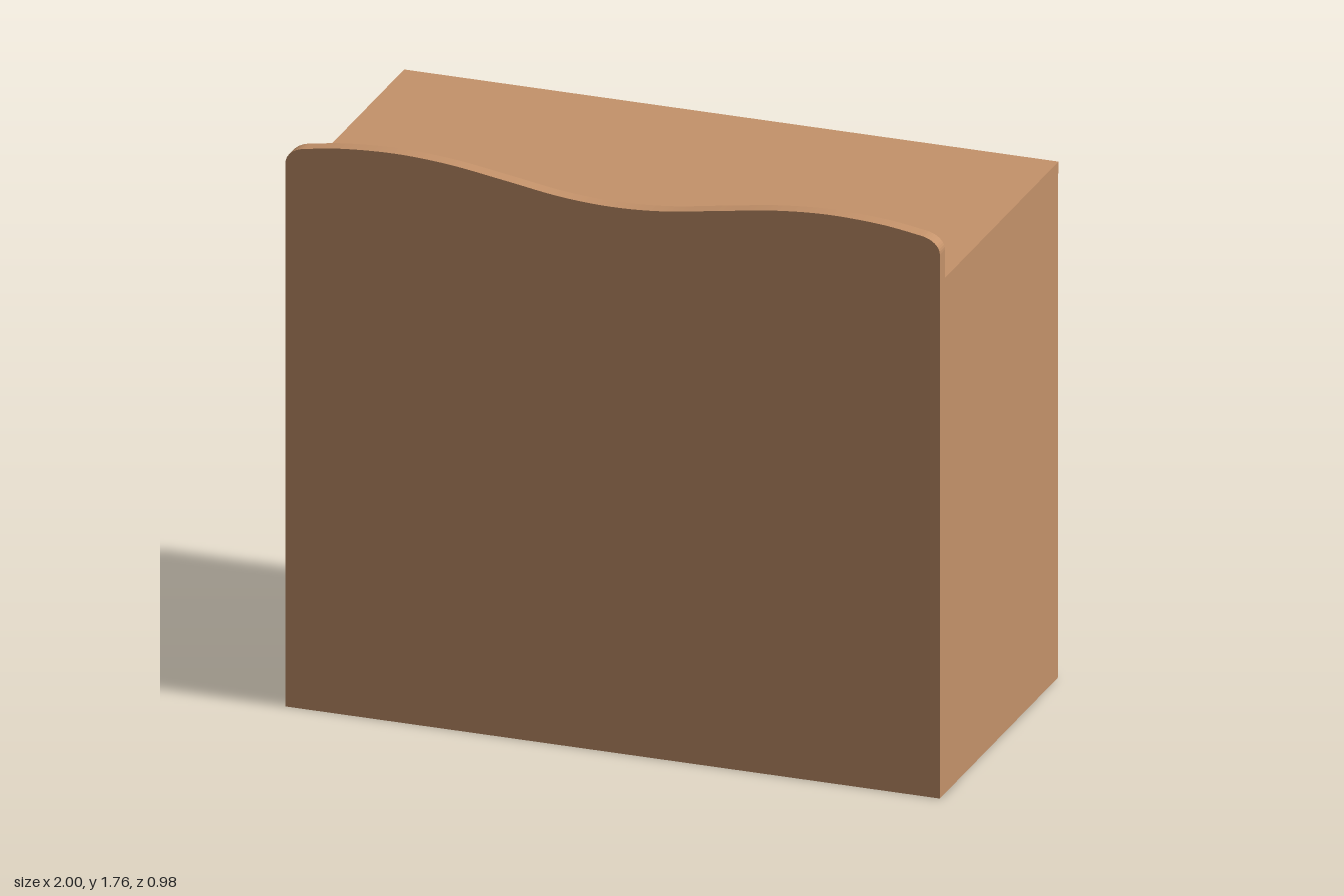
import * as THREE from 'three';

const BACK = -0.485, INNER = 0.445, FRONT = 0.488; // depth stations
const T = 0.04;                                    // board thickness

export function createModel() {
  const group = new THREE.Group();
  group.name = 'shelfCabinet';
  const wood = new THREE.MeshStandardMaterial({ color: 0xc4926a });
  wood.name = 'wood';

  // Box board given by its limits
  function board(name, x0, x1, y0, y1, z0, z1) {
    const mesh = new THREE.Mesh(new THREE.BoxGeometry(x1 - x0, y1 - y0, z1 - z0), wood);
    mesh.position.set((x0 + x1) / 2, (y0 + y1) / 2, (z0 + z1) / 2);
    mesh.name = name;
    group.add(mesh);
    return mesh;
  }

  // Front panel with rounded corners and a wavy top edge
  const half = [[0.94, 1.736], [0.82, 1.753], [0.66, 1.76], [0.5, 1.75], [0.33, 1.725], [0.16, 1.699]];
  const wave = [...half, [0, 1.69], ...half.map(([x, y]) => [-x, y]).reverse()];
  const shape = new THREE.Shape();
  shape.moveTo(-1, 0);
  shape.lineTo(1, 0);
  shape.lineTo(1, 1.685);
  shape.bezierCurveTo(1, 1.71, 0.975, 1.731, 0.94, 1.736);
  shape.splineThru(wave.slice(1).map(([x, y]) => new THREE.Vector2(x, y)));
  shape.bezierCurveTo(-0.975, 1.731, -1, 1.71, -1, 1.685);
  shape.closePath();
  const panel = new THREE.Mesh(
    new THREE.ExtrudeGeometry(shape, { depth: FRONT - INNER, bevelEnabled: false, curveSegments: 10 }), wood);
  panel.position.z = INNER;
  panel.name = 'frontPanel';
  group.add(panel);

  // Carcass
  board('topBoard', -1, 1, 1.56, 1.597, -0.49, INNER);
  for (const s of [-1, 1]) {
    board(s > 0 ? 'leftSide' : 'rightSide', s * 0.98 - T / 2, s * 0.98 + T / 2, 0, 1.56, BACK, INNER);
  }
  board('bottomBoard', -0.96, 0.96, 0.13, 0.172, BACK, INNER);
  board('kickBoard', -0.96, 0.96, 0, 0.13, BACK + 0.025, BACK + 0.025 + T);

  // Two sloped shelves, each with a square lip at the open side
  const angle = THREE.MathUtils.degToRad(39.5);
  const lipHeight = 0.176, length = 0.94;
  [0.318, 1.018].forEach((y, i) => {
    const shelf = new THREE.Group();
    shelf.name = i ? 'upperShelf' : 'lowerShelf';
    // Local origin is the outer top corner of the lip
    shelf.position.set(0, y, BACK);
    shelf.rotation.x = -angle;
    const lip = board('shelfLip', -0.96, 0.96, -lipHeight, 0, 0, T);
    const plank = board('shelfBoard', -0.96, 0.96, -lipHeight, -lipHeight + T, T, T + length);
    shelf.add(lip, plank);
    group.add(shelf);
  });

  return group;
}
